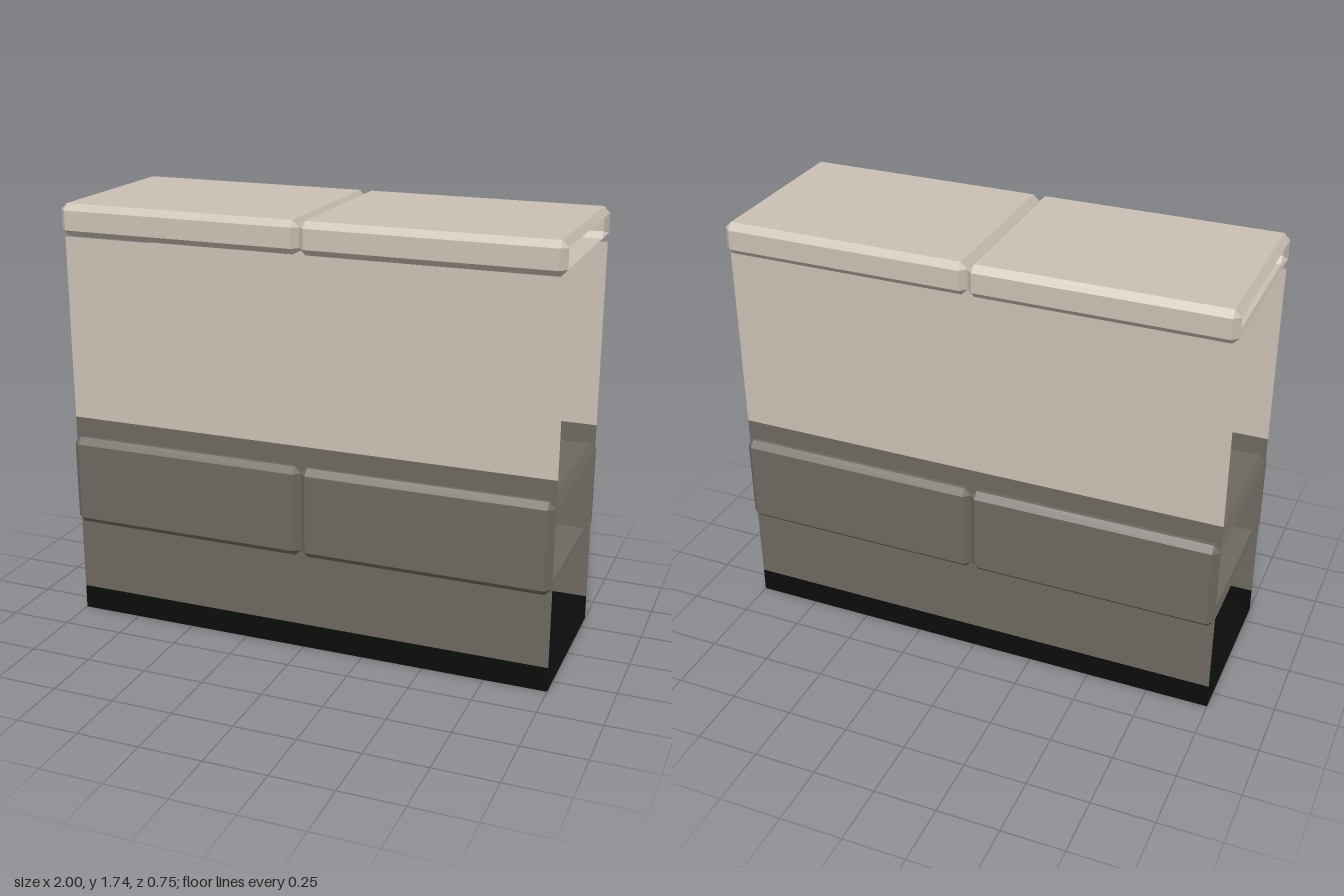
import * as THREE from 'three';

const mat = (name, color) => {
  const m = new THREE.MeshStandardMaterial({ color, side: THREE.DoubleSide });
  m.name = name;
  return m;
};

// Hollow chamfered block from x = 0 to x = 1, closed at x = 0 and open at x = 1
function blockGeometry(y0, y1, halfDepth, bevel) {
  const cy = (y0 + y1) / 2, h = (y1 - y0) / 2, w = halfDepth, b = bevel;
  // corners as [sign y, sign z, flat side first], running from +y towards +z
  const corners = [[1, 1, 'y'], [1, 1, 'z'], [-1, 1, 'z'], [-1, 1, 'y'],
    [-1, -1, 'y'], [-1, -1, 'z'], [1, -1, 'z'], [1, -1, 'y']];
  const section = (x, isEnd) => corners.map(([sy, sz, side]) => new THREE.Vector3(
    x,
    cy + sy * (!isEnd && side === 'y' ? h : h - b),
    sz * (!isEnd && side === 'z' ? w : w - b)));
  const rings = [section(0, true), section(b, false), section(1 - b, false), section(1, true)];
  const pos = [];
  const tri = (p, q, r) => {
    const area = q.clone().sub(p).cross(r.clone().sub(p)).length();
    if (area > 1e-8) for (const v of [p, q, r]) pos.push(v.x, v.y, v.z);
  };
  for (let i = 0; i < 3; i++) {
    for (let k = 0; k < 8; k++) {
      const n = (k + 1) % 8;
      const a = rings[i][k], c = rings[i][n], d = rings[i + 1][n], e = rings[i + 1][k];
      tri(a, c, d);
      tri(a, d, e);
    }
  }
  // cap at the middle joint
  const r = rings[0];
  for (let k = 1; k < 7; k++) tri(r[0], r[k + 1], r[k]);
  const g = new THREE.BufferGeometry();
  g.setAttribute('position', new THREE.Float32BufferAttribute(pos, 3));
  g.computeVertexNormals();
  return g;
}

export function createModel() {
  const model = new THREE.Group();
  model.name = 'wallSegment';
  const light = mat('lightStone', 0xcabfb3);
  const dark = mat('darkStone', 0x6d6860);
  const black = mat('blackBase', 0x0a0c0a);

  const add = (name, geometry, material, parent = model) => {
    const m = new THREE.Mesh(geometry, material);
    m.name = name;
    parent.add(m);
    return m;
  };

  // Thin front and back wall sheets in three colour bands
  const bands = [
    ['baseBand', 0, 0.1, black],
    ['lowerWall', 0.1, 0.855, dark],
    ['upperWall', 0.855, 1.6, light],
  ];
  for (const side of [1, -1]) {
    const wall = new THREE.Group();
    wall.name = side > 0 ? 'frontWall' : 'backWall';
    for (const [name, y0, y1, m] of bands) {
      add(name, new THREE.PlaneGeometry(2, y1 - y0), m, wall)
        .position.set(0, (y0 + y1) / 2, 0.335);
    }
    if (side < 0) wall.rotation.y = Math.PI;
    model.add(wall);
  }

  // Floor sheet closing the underside
  add('floor', new THREE.PlaneGeometry(2, 0.67), black).rotation.x = Math.PI / 2;

  // Paired coping stones and middle course blocks, open at the outer ends
  const coping = blockGeometry(1.607, 1.735, 0.375, 0.025);
  const course = blockGeometry(0.405, 0.775, 0.375, 0.025);
  for (const turn of [0, Math.PI]) {
    const label = turn ? 'Right' : 'Left';
    add('copingStone' + label, coping, light).rotation.y = turn;
    add('courseBlock' + label, course, dark).rotation.y = turn;
  }
  return model;
}
